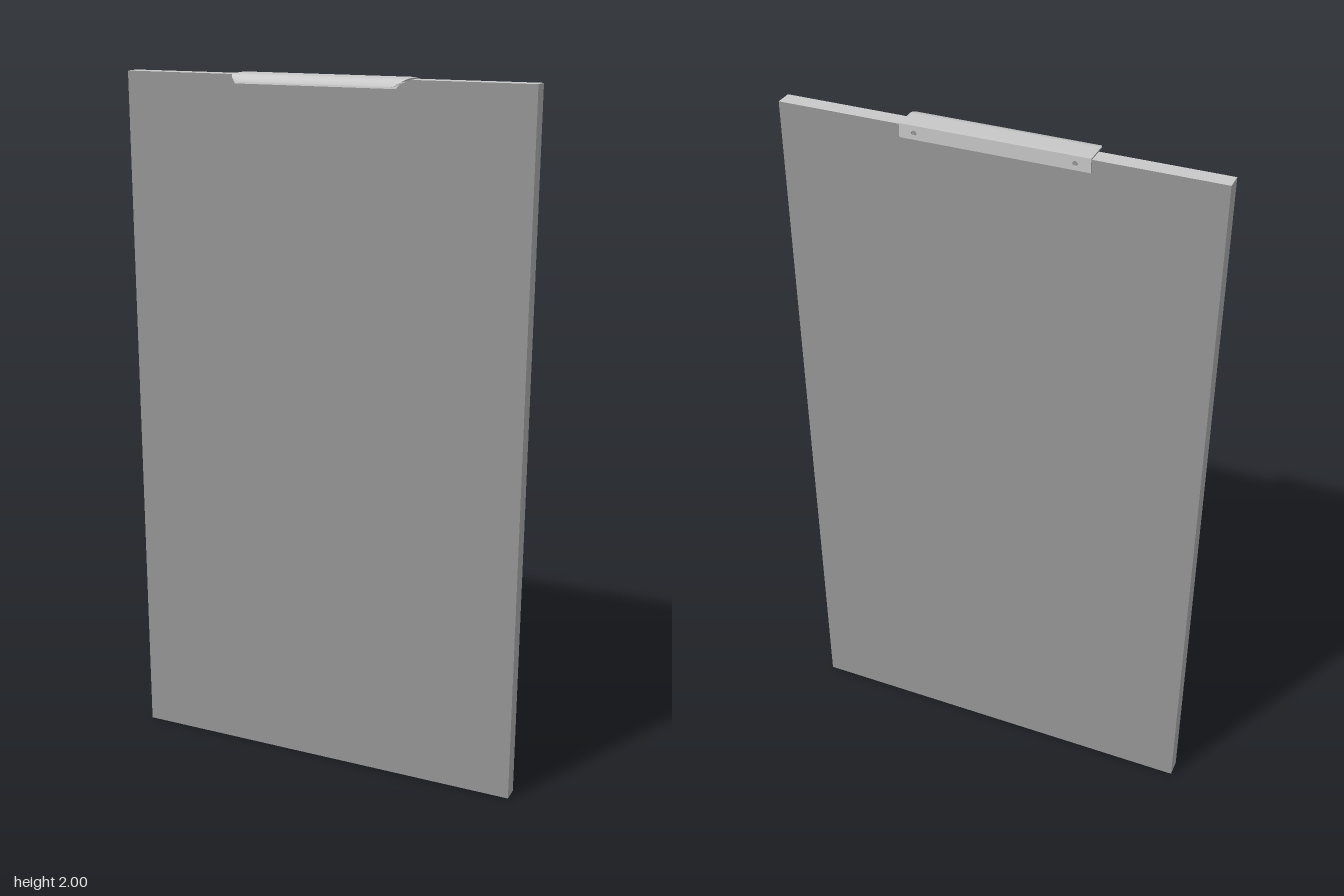
import * as THREE from 'three';
import { toCreasedNormals } from 'three/addons/utils/BufferGeometryUtils.js';

const HALF = 0.25;      // half length of the pull
const BACK = -0.0515, FRONT = 0.0515;
const T = 0.004;        // sheet thickness
const TOP = 2;

export function createModel() {
  const group = new THREE.Group();
  const light = new THREE.MeshStandardMaterial({ color: 0xcccccc });
  const dark = new THREE.MeshStandardMaterial({ color: 0x999999 });
  const add = (name, geometry, material, parent) => {
    const mesh = new THREE.Mesh(geometry, material);
    mesh.name = name;
    parent.add(mesh);
    return mesh;
  };

  // Flat door panel: darker front and back faces, light edges
  const depth = 0.047;
  const faces = [light, light, light, light, dark, dark];
  add('doorPanel', new THREE.BoxGeometry(1.174, TOP - T, depth), faces, group)
    .position.set(0, (TOP - T) / 2, BACK + T + depth / 2);

  const pull = new THREE.Group();
  pull.name = 'edgePull';
  group.add(pull);

  // Top plate running forward into a rolled-down lip (profile in z, y)
  const rz = 0.042, ry = 0.024, corner = 0.036;
  const bend = FRONT - rz;
  const profile = new THREE.Shape();
  profile.moveTo(BACK, TOP - T);
  profile.lineTo(bend, TOP - T);
  profile.absellipse(bend, TOP - ry, rz - T, ry - T, Math.PI / 2, 0, true);
  profile.lineTo(FRONT, TOP - ry);
  profile.absellipse(bend, TOP - ry, rz, ry, 0, Math.PI / 2, false);
  profile.lineTo(BACK, TOP);
  profile.closePath();
  const lip = new THREE.ExtrudeGeometry(profile, { depth: 2, bevelEnabled: false, curveSegments: 20 });
  lip.translate(0, 0, -1);
  lip.rotateY(-Math.PI / 2);

  // Round the front corners of the lip in plan
  const p = lip.attributes.position;
  for (let i = 0; i < p.count; i++) {
    const d = THREE.MathUtils.clamp(p.getZ(i) - (FRONT - corner), 0, corner);
    const half = HALF - corner + Math.sqrt(corner * corner - d * d);
    p.setX(i, Math.sign(p.getX(i)) * half);
  }
  add('gripLip', toCreasedNormals(lip, 0.6), light, pull);

  // Rear fixing flange with two screw holes
  const bottom = 1.963;
  const flange = new THREE.Shape();
  flange.moveTo(-HALF, bottom);
  flange.lineTo(HALF, bottom);
  flange.lineTo(HALF, TOP - T);
  flange.lineTo(-HALF, TOP - T);
  flange.closePath();
  for (const side of [-1, 1]) {
    const hole = new THREE.Path();
    hole.absarc(side * 0.21, 1.98, 0.007, 0, Math.PI * 2, true);
    flange.holes.push(hole);
  }
  add('rearFlange', new THREE.ExtrudeGeometry(flange, { depth: T, bevelEnabled: false, curveSegments: 12 }), light, pull)
    .position.z = BACK;

  return group;
}
